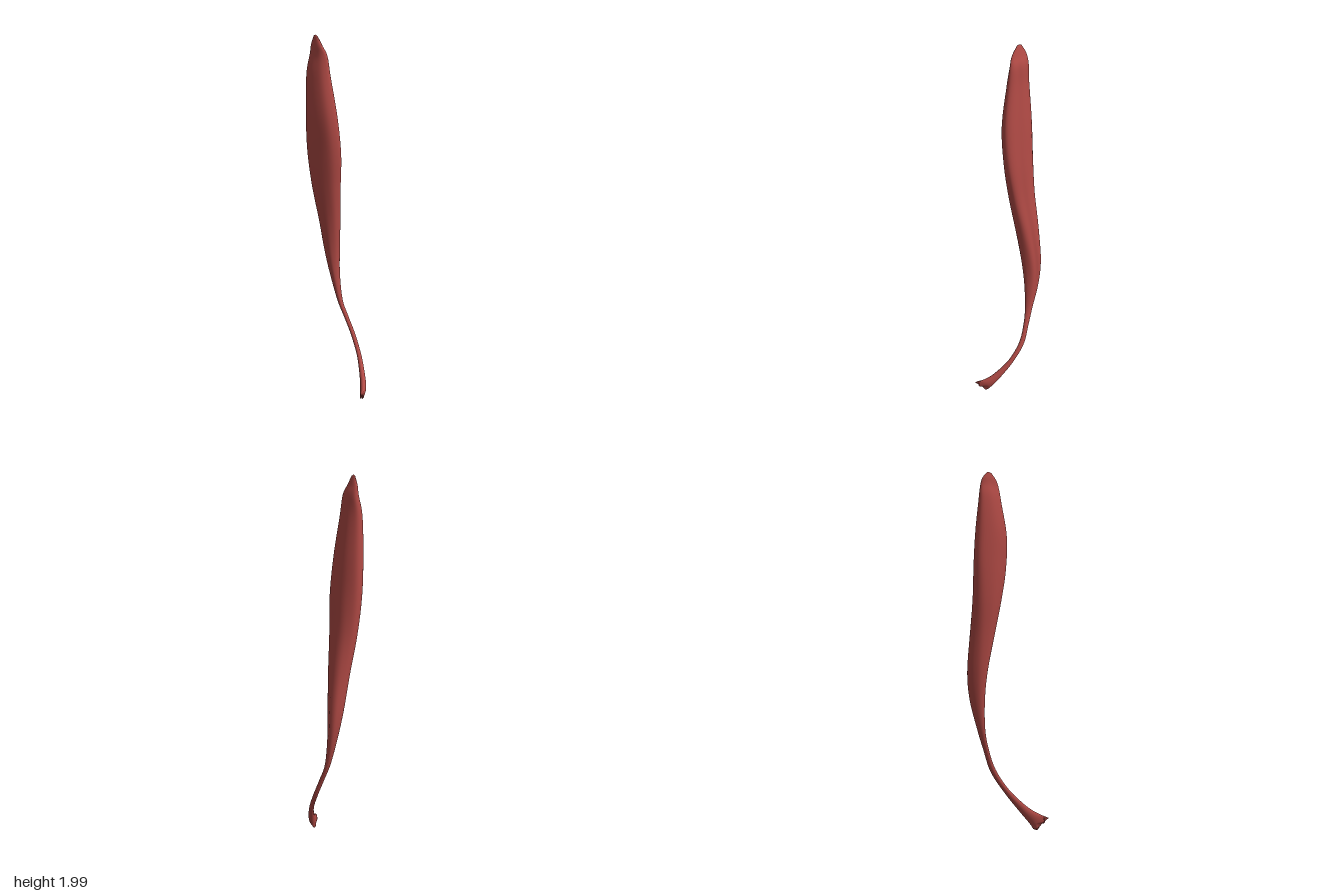
import * as THREE from 'three';

const red = new THREE.MeshStandardMaterial({ color: 0xb04a45 });
red.name = 'muscle red';

// Cross-sections from top to bottom:
// centre x, y, z, half width x, half depth z, diagonal lean (-1..1), tilt
const SECTIONS = [
  [-0.11, 1.995, -0.062, 0.01, 0.012, 0.8, 0],
  [-0.105, 1.95, -0.062, 0.03, 0.037, 0.75, 0],
  [-0.096, 1.9, -0.062, 0.046, 0.048, 0.65, 0],
  [-0.097, 1.8, -0.057, 0.063, 0.058, 0.55, 0],
  [-0.083, 1.6, -0.053, 0.083, 0.078, 0.5, 0],
  [-0.072, 1.4, -0.062, 0.09, 0.078, 0.48, 0],
  [-0.063, 1.2, -0.08, 0.077, 0.07, 0.35, 0],
  [-0.047, 1.0, -0.108, 0.059, 0.063, 0.15, 0],
  [-0.034, 0.8, -0.133, 0.042, 0.054, 0, 0],
  [-0.018, 0.65, -0.136, 0.027, 0.04, 0, 0],
  [0.01, 0.5, -0.121, 0.015, 0.021, 0, 0],
  [0.047, 0.4, -0.103, 0.013, 0.014, 0, 0.1],
  [0.087, 0.3, -0.075, 0.013, 0.014, 0, 0.4],
  [0.123, 0.2, -0.012, 0.013, 0.014, 0, 0.75],
  [0.143, 0.11, 0.068, 0.016, 0.022, 0, 0.85],
  [0.147, 0.065, 0.118, 0.017, 0.032, 0, 0.8],
  [0.14, 0.036, 0.156, 0.01, 0.044, 0, 0.75],
];
const RINGS = 112, SIDES = 40;

// Smooth curve through three columns of the section table
const column = (a, b, c) => new THREE.CatmullRomCurve3(
  SECTIONS.map(s => new THREE.Vector3(s[a], s[b], s[c])), false, 'catmullrom', 0.5);

function loft() {
  const centre = column(0, 1, 2), size = column(3, 4, 5), lean = column(6, 6, 6);
  const pos = [], index = [];
  for (let i = 0; i <= RINGS; i++) {
    const u = i / RINGS;
    const c = centre.getPoint(u), s = size.getPoint(u), tilt = lean.getPoint(u).x;
    const phase = Math.acos(THREE.MathUtils.clamp(s.z, -0.95, 0.95));
    // the belly carries a shallow lengthwise groove and faint fibres
    const belly = THREE.MathUtils.smoothstep(u, 0.03, 0.15) * (1 - THREE.MathUtils.smoothstep(u, 0.5, 0.65));
    const frayed = THREE.MathUtils.smoothstep(u, 0.94, 1);
    for (let j = 0; j < SIDES; j++) {
      const t = (j / SIDES) * Math.PI * 2;
      const d = Math.atan2(Math.sin(t + 0.6), Math.cos(t + 0.6)) / 0.38;
      const r = 1 - belly * (0.17 * Math.exp(-d * d) + 0.012 * Math.sin(7 * t + 9 * u));
      const x = s.x * Math.cos(t) * r, v = s.y * Math.cos(t - phase) * r;
      const fray = frayed * 0.007 * Math.sin(5 * t);
      pos.push(c.x + x, c.y + v * Math.sin(tilt) - fray * 0.7, c.z + v * Math.cos(tilt) + fray);
    }
  }
  for (let i = 0; i < RINGS; i++) {
    for (let j = 0; j < SIDES; j++) {
      const k = (j + 1) % SIDES;
      const a = i * SIDES + j, b = i * SIDES + k;
      index.push(a, b, a + SIDES, b, b + SIDES, a + SIDES);
    }
  }
  // end caps
  const last = RINGS * SIDES, top = pos.length / 3, bottom = top + 1;
  const [h, f] = [SECTIONS[0], SECTIONS[SECTIONS.length - 1]];
  pos.push(h[0], 2, h[2], f[0], f[1] - 0.002, f[2] + 0.004);
  for (let j = 0; j < SIDES; j++) {
    const k = (j + 1) % SIDES;
    index.push(top, k, j, bottom, last + j, last + k);
  }
  const g = new THREE.BufferGeometry();
  g.setAttribute('position', new THREE.Float32BufferAttribute(pos, 3));
  g.setIndex(index);
  g.computeVertexNormals();
  return g;
}

export function createModel() {
  const group = new THREE.Group();
  group.name = 'muscle';
  // belly tapering into the curved tendon with its flared end
  const mesh = new THREE.Mesh(loft(), red);
  mesh.name = 'bellyAndTendon';
  group.add(mesh);
  return group;
}
